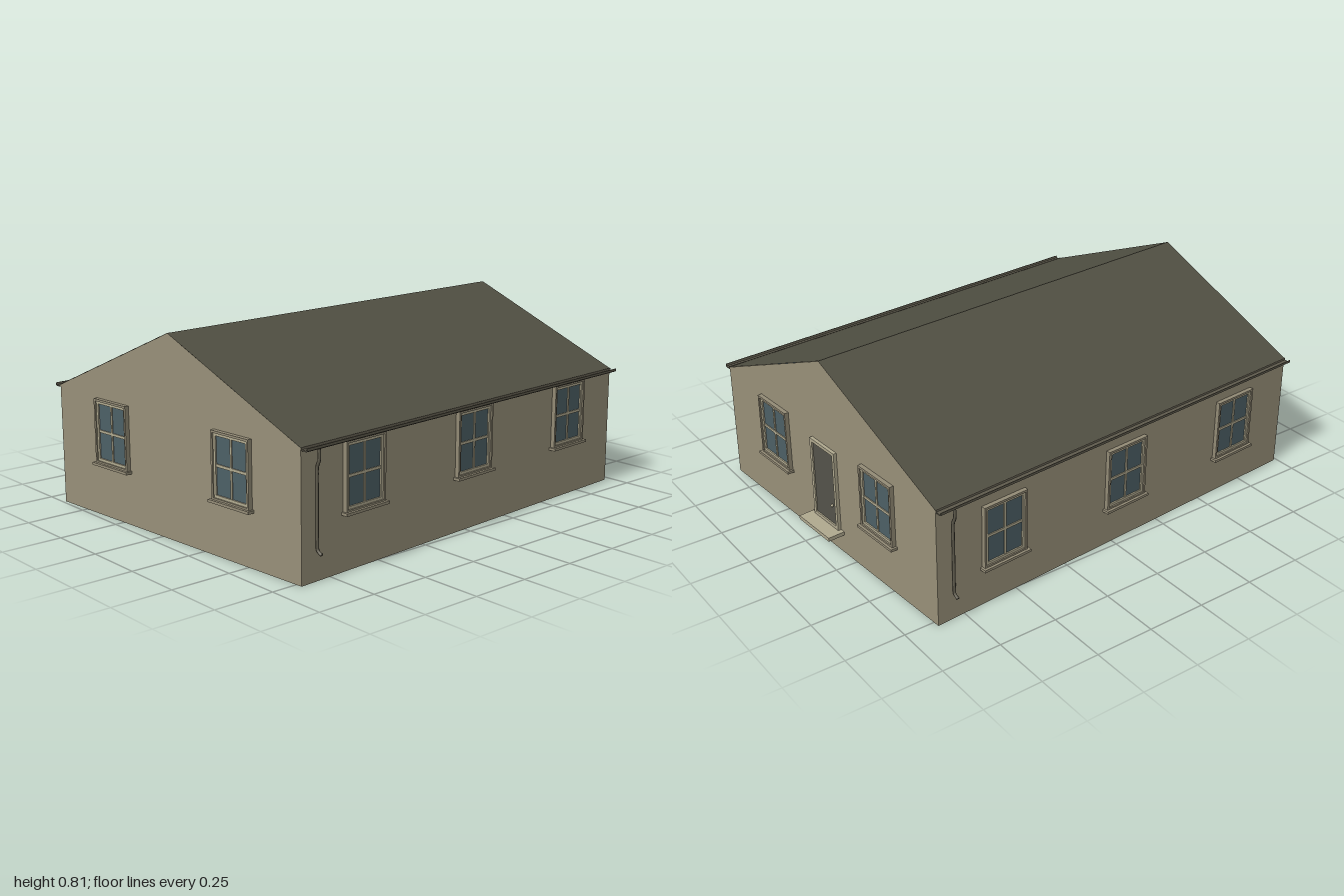
import * as THREE from 'three';

const HALF_W = 0.717, HALF_L = 0.931, EAVE = 0.505, RIDGE = 0.812;

function paint(name, color, side = THREE.FrontSide) {
  const m = new THREE.MeshStandardMaterial({ color, side });
  m.name = name;
  return m;
}

export function createModel() {
  const wallMat = paint('wall render', 0x989079, THREE.DoubleSide);
  const roofMat = paint('roof covering', 0x515043, THREE.DoubleSide);
  const trimMat = paint('pale trim', 0xb0a98f);
  const sillMat = paint('sill stone', 0x938b76);
  const glassMat = paint('window glass', 0x4d6066);
  const gutterMat = paint('gutter', 0x5f5b4d);
  const doorMat = paint('door paint', 0x54534a);

  const house = new THREE.Group();
  house.name = 'house';

  function add(parent, name, geo, mat, x = 0, y = 0, z = 0) {
    const mesh = new THREE.Mesh(geo, mat);
    mesh.name = name;
    mesh.position.set(x, y, z);
    parent.add(mesh);
    return mesh;
  }
  const box = (w, h, d) => new THREE.BoxGeometry(w, h, d);

  // Rectangular ring centred on its origin, standing out towards +z
  function ring(w, h, t, depth) {
    const rect = (C, a, b) => new C([[-a, -b], [a, -b], [a, b], [-a, b]].map(p => new THREE.Vector2(...p)));
    const s = rect(THREE.Shape, w / 2, h / 2);
    s.holes.push(rect(THREE.Path, w / 2 - t, h / 2 - t));
    return new THREE.ExtrudeGeometry(s, { depth, bevelEnabled: false });
  }

  // Gable walls, front and back
  const gable = new THREE.Shape([[-HALF_W, 0], [HALF_W, 0], [HALF_W, EAVE], [0, RIDGE], [-HALF_W, EAVE]]
    .map(p => new THREE.Vector2(...p)));
  for (const s of [1, -1]) {
    const g = add(house, s > 0 ? 'frontWall' : 'backWall', new THREE.ShapeGeometry(gable), wallMat, 0, 0, s * HALF_L);
    if (s < 0) g.rotation.y = Math.PI;
  }

  // Long walls and roof slopes
  const rise = RIDGE - EAVE, slope = Math.atan2(rise, HALF_W);
  const slopeLen = Math.hypot(rise, HALF_W) + 0.004;
  for (const s of [1, -1]) {
    const side = new THREE.Group();
    side.name = s > 0 ? 'leftSide' : 'rightSide';
    side.rotation.y = s > 0 ? 0 : Math.PI;
    house.add(side);
    add(side, 'sideWall', new THREE.PlaneGeometry(HALF_L * 2, EAVE), wallMat, HALF_W, EAVE / 2, 0).rotation.y = Math.PI / 2;
    const roof = new THREE.PlaneGeometry(slopeLen, HALF_L * 2 + 0.002);
    roof.rotateX(-Math.PI / 2);
    roof.translate(slopeLen / 2, 0, 0);
    roof.rotateZ(-slope);
    add(side, 'roofSlope', roof, roofMat, 0, RIDGE + 0.001, 0);

    // Shallow trough along the eave
    const trough = new THREE.Shape([[0, 0.507], [0, 0.497], [0.006, 0.494], [0.027, 0.494], [0.033, 0.498],
      [0.033, 0.508], [0.030, 0.508], [0.028, 0.499], [0.005, 0.499], [0.004, 0.507]]
      .map(p => new THREE.Vector2(...p)));
    add(side, 'gutter', new THREE.ExtrudeGeometry(trough, { depth: HALF_L * 2, bevelEnabled: false }),
      gutterMat, HALF_W, 0, -HALF_L);

    // Downpipe with swan neck and kicked-out foot
    const path = new THREE.CatmullRomCurve3([[0.018, 0.498], [0.018, 0.45], [0.008, 0.425], [0.007, 0.40],
      [0.007, 0.27], [0.007, 0.14], [0.009, 0.118], [0.026, 0.106]]
      .map(([x, y]) => new THREE.Vector3(HALF_W + x, y, 0.86)));
    add(side, 'downpipe', new THREE.TubeGeometry(path, 40, 0.006, 8), gutterMat);
    const foot = add(side, 'pipeFoot', new THREE.CylinderGeometry(0.0068, 0.0068, 0.006, 8), gutterMat,
      HALF_W + 0.026, 0.107, 0.86);
    foot.rotation.z = 1.0;
  }

  // Four-pane window; x runs along the wall, y is the sill's underside
  function addWindow(name, x, y, z, turn) {
    const w = new THREE.Group();
    w.name = name;
    w.position.set(x, y, z);
    w.rotation.y = turn;
    const mid = 0.142;
    add(w, 'casing', ring(0.206, 0.266, 0.009, 0.018), sillMat, 0, mid, 0);
    add(w, 'sash', ring(0.188, 0.248, 0.011, 0.012), trimMat, 0, mid, 0);
    add(w, 'glass', box(0.168, 0.228, 0.006), glassMat, 0, mid, 0.003);
    add(w, 'uprightBar', box(0.009, 0.228, 0.009), trimMat, 0, mid, 0.0055);
    add(w, 'crossBar', box(0.168, 0.011, 0.009), trimMat, 0, mid, 0.0055);
    add(w, 'sill', box(0.224, 0.011, 0.029), sillMat, 0, 0.0055, 0.0145);
    house.add(w);
  }
  for (const x of [-0.36, 0.36]) {
    addWindow('frontWindow', x, 0.215, HALF_L, 0);
    addWindow('backWindow', x, 0.208, -HALF_L, Math.PI);
  }
  for (const z of [-0.62, 0, 0.62]) {
    addWindow('leftWindow', HALF_W, 0.217, z, Math.PI / 2);
    addWindow('rightWindow', -HALF_W, 0.16, z, -Math.PI / 2);
  }

  // Back door with frame, knob and step
  const door = new THREE.Group();
  door.name = 'backDoor';
  door.position.z = -HALF_L;
  door.rotation.y = Math.PI;
  add(door, 'doorFrame', ring(0.17, 0.35, 0.014, 0.014), trimMat, 0, 0.275, 0);
  add(door, 'doorLeaf', box(0.144, 0.324, 0.008), doorMat, 0, 0.275, 0.004);
  add(door, 'knob', new THREE.SphereGeometry(0.006, 10, 8), trimMat, 0.05, 0.2, 0.013);
  add(door, 'step', box(0.212, 0.016, 0.073), trimMat, 0, 0.092, 0.0365);
  house.add(door);

  // The house stands slightly turned on its plot
  house.rotation.y = 0.067;
  house.position.z = 0.01;
  const model = new THREE.Group();
  model.name = 'cottage';
  model.add(house);
  return model;
}
